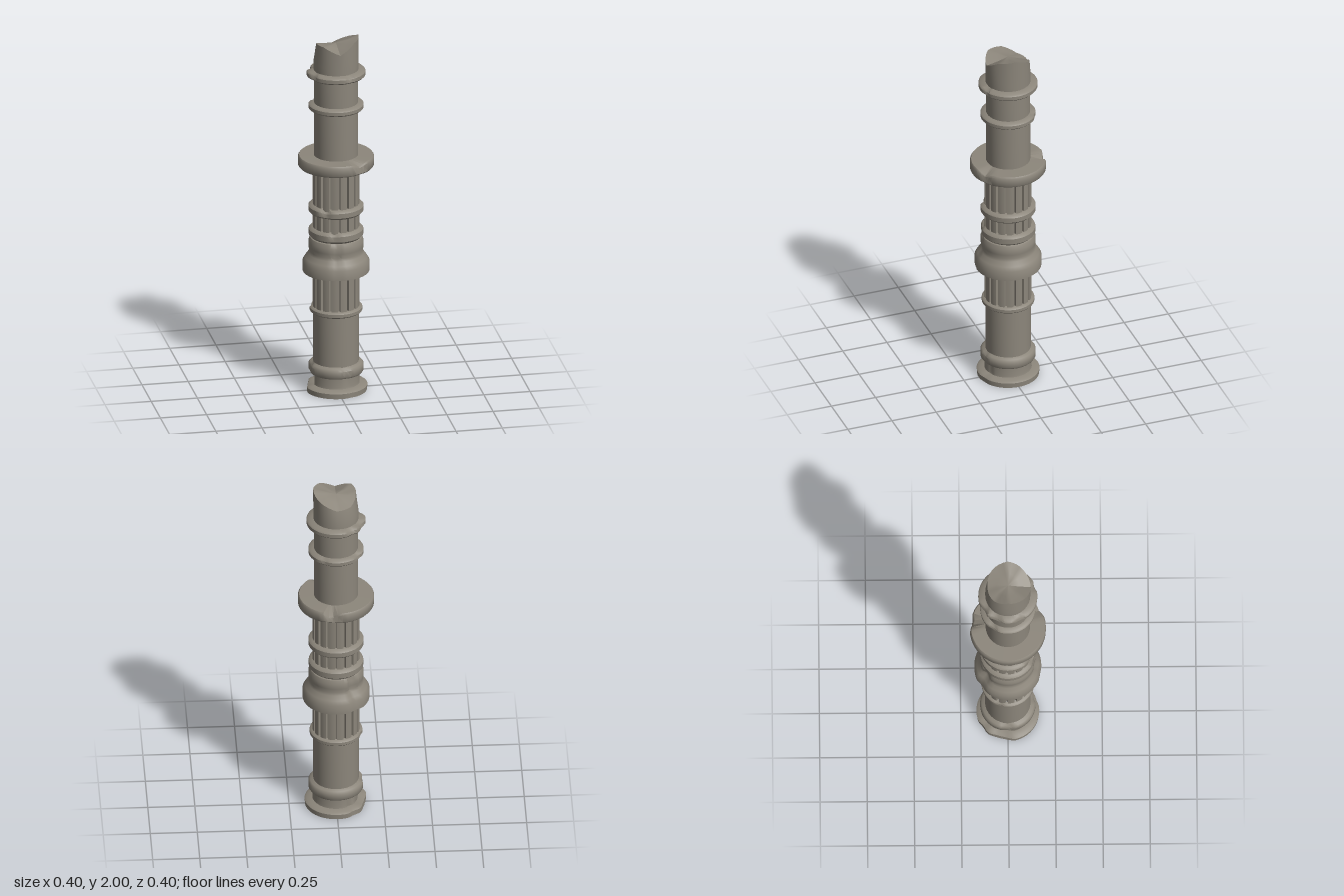
import * as THREE from 'three';
import { toCreasedNormals, mergeVertices } from 'three/addons/utils/BufferGeometryUtils.js';

const SEGMENTS = 48;
const rad = THREE.MathUtils.degToRad;

// Smallest distance between two angles
function angleGap(a, b) {
  const d = Math.abs(a - b) % (Math.PI * 2);
  return Math.min(d, Math.PI * 2 - d);
}

function finish(geometry) {
  geometry.deleteAttribute('normal');
  geometry.deleteAttribute('uv');
  return toCreasedNormals(mergeVertices(geometry, 1e-5), 0.7);
}

// Turned part, moved by optional chips: [angle, half width, cut, drop of upper edge].
// Angles run from the front (+z) towards +x.
function turned(profile, chips = []) {
  const points = profile.map(([r, y]) => new THREE.Vector2(r, y));
  const low = profile[0][1], high = profile[profile.length - 1][1];
  const geometry = new THREE.LatheGeometry(points, SEGMENTS);
  const p = geometry.attributes.position;
  for (let i = 0; i < p.count; i++) {
    const x = p.getX(i), z = p.getZ(i);
    let r = Math.hypot(x, z), y = p.getY(i);
    if (r < 0.122) continue;
    const a = Math.atan2(x, z), r0 = r;
    const up = (y - low) / (high - low);
    for (const [angle, width, cut, drop] of chips) {
      const w = Math.min(1, 1.5 * Math.max(0, 1 - angleGap(a, rad(angle)) / rad(width)));
      r = Math.max(0.115, r - cut * w * (0.4 + 0.6 * up));
      y -= drop * w * up;
    }
    p.setXYZ(i, x * r / r0, y, z * r / r0);
  }
  return finish(geometry);
}

// Fluted drum: a round section with narrow grooves
function fluted(low, high) {
  const count = 16, step = Math.PI * 2 / count;
  const outline = [];
  for (let i = 0; i < count; i++) {
    for (const [t, r] of [[0, 0.124], [0.25, 0.125], [0.5, 0.125], [0.72, 0.124], [0.78, 0.108], [0.94, 0.108]]) {
      const a = (i + t) * step;
      outline.push(new THREE.Vector2(Math.cos(a) * r, Math.sin(a) * r));
    }
  }
  const geometry = new THREE.ExtrudeGeometry(new THREE.Shape(outline), { depth: high - low, bevelEnabled: false });
  geometry.rotateX(-Math.PI / 2).translate(0, low, 0);
  return finish(geometry);
}

// Snapped-off top with an uneven rim and a shallow broken face
function brokenTop() {
  const rim = [1.935, 1.985, 2.0, 1.965, 1.925, 1.93, 1.97, 1.975];
  const radius = [0.122, 0.115, 0.122, 0.12, 0.108, 0.106, 0.105, 0.118];
  const n = rim.length;
  const pick = (list, a) => {
    const t = ((a / (Math.PI * 2)) * n + n) % n, i = Math.floor(t) % n;
    return THREE.MathUtils.lerp(list[i], list[(i + 1) % n], t - Math.floor(t));
  };
  const profile = [[0.12, 1.8], [0.12, 1.86], [0.12, 1.95], [0.06, 1.96], [0, 1.965]];
  const geometry = new THREE.LatheGeometry(profile.map(q => new THREE.Vector2(...q)), 32);
  const p = geometry.attributes.position;
  for (let i = 0; i < p.count; i++) {
    const x = p.getX(i), y = p.getY(i), z = p.getZ(i);
    const r = Math.hypot(x, z), a = Math.atan2(x, z);
    if (y < 1.9 || r < 0.01) continue;
    const h = pick(rim, a);
    const k = r > 0.1 ? pick(radius, a) / r : 1;
    p.setXYZ(i, x * k, r > 0.1 ? h : (h + 1.96) / 2, z * k);
  }
  return finish(geometry);
}

export function createModel() {
  const column = new THREE.Group();
  column.name = 'brokenColumn';
  const stone = new THREE.MeshStandardMaterial({ color: 0x8c867b });
  stone.name = 'weatheredStone';
  const add = (name, geometry) => {
    const mesh = new THREE.Mesh(geometry, stone);
    mesh.name = name;
    column.add(mesh);
  };

  // Closed band with slightly rounded edges
  const band = (low, high, r, chips) => {
    const e = (high - low) * 0.22;
    return turned([[0, low], [r - e, low], [r, low + e], [r, high - e], [r - e, high], [0.115, high + 0.004]], chips);
  };

  // Base and its upper moulding
  add('base', turned([[0, 0], [0.165, 0], [0.167, 0.028], [0.155, 0.036], [0.126, 0.04], [0.124, 0.05], [0.124, 0.1]],
    [[255, 28, 0.03, 0.012], [215, 14, 0.02, 0.006], [20, 10, 0.008, 0.004]]));
  add('baseMoulding', turned([[0.12, 0.1], [0.14, 0.102], [0.147, 0.112], [0.147, 0.145], [0.138, 0.156], [0.115, 0.165]],
    [[270, 16, 0.012, 0.006], [10, 10, 0.008, 0.004]]));

  // Plain shafts
  add('lowerShaft', turned([[0.121, 0.155], [0.121, 0.45]]));
  add('upperShaft', turned([[0.118, 1.32], [0.118, 1.6]]));
  add('topShaft', turned([[0.117, 1.61], [0.118, 1.79]]));

  // Fluted drums
  add('lowerFlutes', fluted(0.465, 0.69));
  add('middleFlutes', fluted(0.915, 1.02));
  add('upperFlutes', fluted(1.045, 1.28));

  // Plain bands
  add('lowerBand', band(0.445, 0.475, 0.14, [[250, 12, 0.01, 0.004]]));
  add('neckBand', band(0.87, 0.925, 0.145, [[345, 12, 0.01, 0.006]]));
  add('middleBand', band(1.008, 1.055, 0.147, [[325, 14, 0.014, 0.012]]));
  add('upperBand', band(1.595, 1.627, 0.147, [[235, 14, 0.015, 0.006], [150, 10, 0.01, 0.003]]));
  add('topBand', band(1.78, 1.815, 0.157,
    [[295, 14, 0.02, 0.004], [245, 16, 0.02, 0.006], [212, 14, 0.02, 0.004], [20, 10, 0.012, 0.008]]));

  // Bell moulding flaring down over the lower flutes
  add('bellMoulding', turned([[0, 0.675], [0.177, 0.675], [0.178, 0.73], [0.165, 0.752], [0.148, 0.775],
    [0.142, 0.79], [0.147, 0.815], [0.147, 0.845], [0.138, 0.866], [0.12, 0.875]],
  [[215, 14, 0.022, 0.008], [350, 10, 0.008, 0.006]]));

  // Wide collar with broken edges
  add('wideCollar', turned([[0, 1.27], [0.196, 1.27], [0.202, 1.278], [0.202, 1.323], [0.196, 1.331], [0.115, 1.333]],
    [[170, 13, 0.02, 0.03], [30, 11, 0.012, 0.02]]));

  add('brokenTop', brokenTop());
  return column;
}
